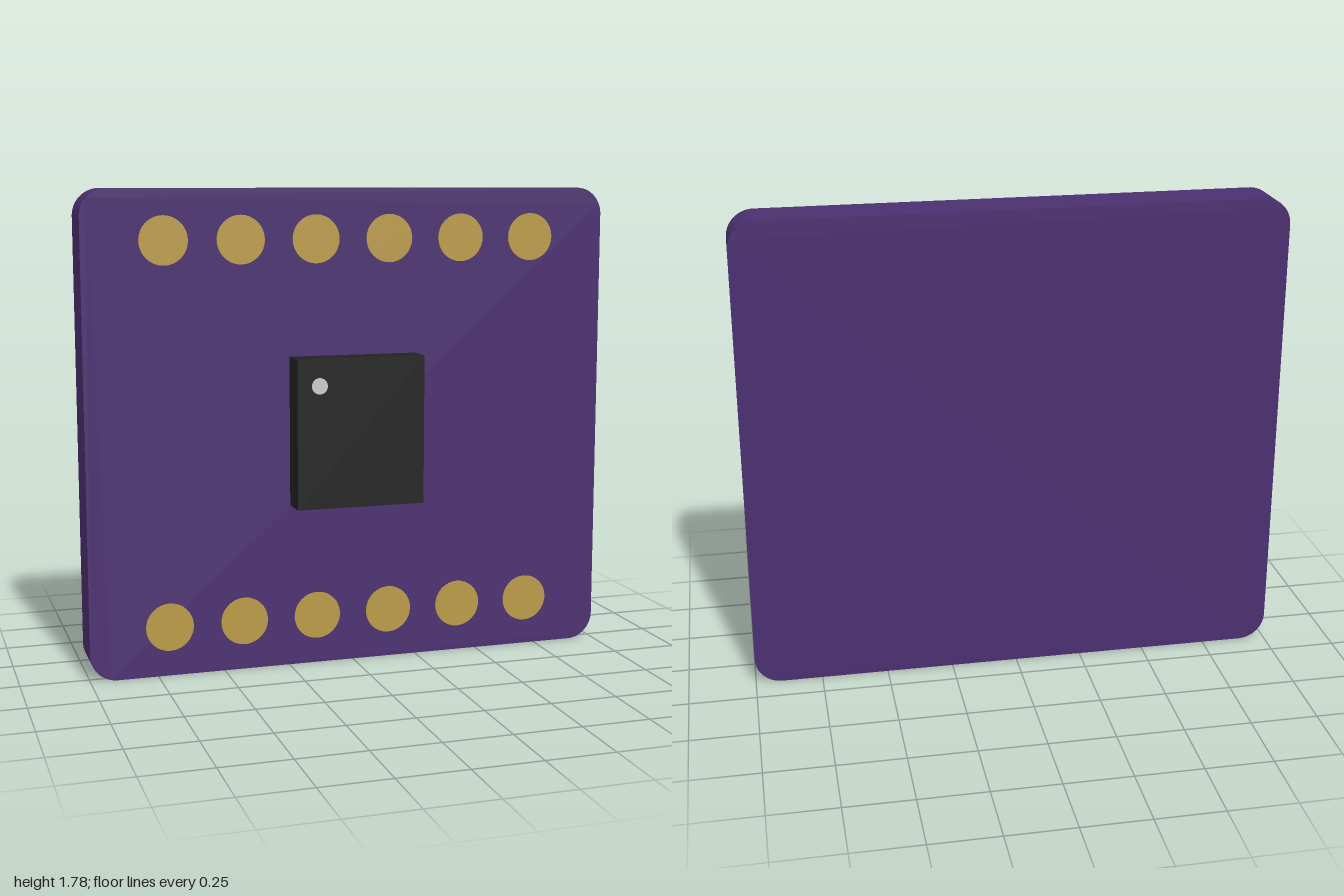
import * as THREE from 'three';
import { toCreasedNormals } from 'three/addons/utils/BufferGeometryUtils.js';

const WIDTH = 2, HEIGHT = 1.78, MID = HEIGHT / 2;
const BACK = -0.145, FACE = 0.035, CHIP_TOP = 0.142;

const mat = (color) => new THREE.MeshStandardMaterial({ color });

// Rounded rectangle centred on the origin
function roundedRect(w, h, r) {
  const s = new THREE.Shape();
  const x = w / 2 - r, y = h / 2 - r;
  s.absarc(x, y, r, 0, Math.PI / 2);
  s.absarc(-x, y, r, Math.PI / 2, Math.PI);
  s.absarc(-x, -y, r, Math.PI, Math.PI * 1.5);
  s.absarc(x, -y, r, Math.PI * 1.5, Math.PI * 2);
  s.closePath();
  return s;
}

// Thin disc facing +z, sitting on the plane z = 0
function disc(radius, thickness) {
  return new THREE.CylinderGeometry(radius, radius, thickness, 32)
    .rotateX(Math.PI / 2)
    .translate(0, 0, thickness / 2);
}

export function createModel() {
  const model = new THREE.Group();
  model.name = 'breakoutBoard';

  const add = (name, geometry, material, x, y, z) => {
    const mesh = new THREE.Mesh(geometry, material);
    mesh.name = name;
    mesh.position.set(x, y, z);
    model.add(mesh);
  };

  // Circuit board with rounded corners
  const board = new THREE.ExtrudeGeometry(roundedRect(WIDTH, HEIGHT, 0.1), {
    depth: FACE - BACK, bevelEnabled: false, curveSegments: 12,
  });
  add('board', toCreasedNormals(board, Math.PI / 6), mat(0x4b2f70), 0, MID, BACK);

  // Two rows of six solder pads
  const padGeometry = disc(0.089, 0.004), gold = mat(0xbb9b48);
  for (const side of [-1, 1]) {
    for (let i = 0; i < 6; i++) {
      add('solderPad', padGeometry, gold, (i - 2.5) * 0.282, MID + side * 0.706, FACE);
    }
  }

  // Chip with its pin-one dot
  const depth = CHIP_TOP - FACE;
  add('chip', new THREE.BoxGeometry(0.488, 0.555, depth), mat(0x222222), 0, MID, FACE + depth / 2);
  add('pinOneDot', disc(0.03, 0.004), mat(0xdddddd), -0.16, 1.068, CHIP_TOP);

  return model;
}
